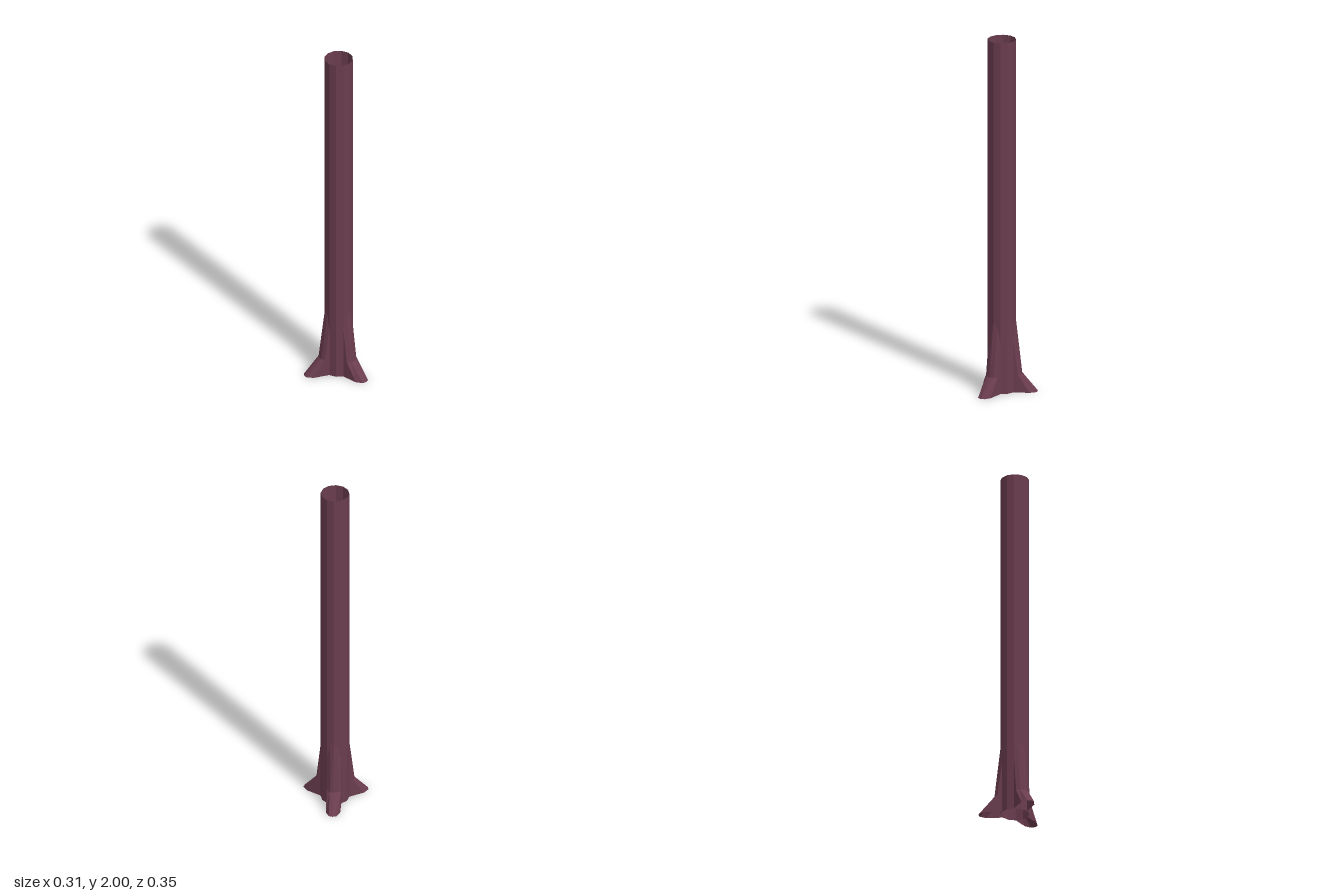
import * as THREE from 'three';

const bark = new THREE.MeshStandardMaterial({ color: 0x6b3d4f, flatShading: true, side: THREE.DoubleSide });
const RADIUS = 0.078;

// Flared root pointing along +x: columns run across it, each with three [x, y] points from ground to trunk
function rootGeometry() {
  const edge = [[0.157, 0], [0.092, 0.1], [0.0675, 0.3]];
  const wall = [[0.0675, 0], [0.0675, 0.1], [0.0675, 0.3]];
  const shoulder = [[0.192, 0], [0.108, 0.1], [0.0727, 0.38]];
  const ridge = [[0.198, 0], [0.112, 0.1], [RADIUS, 0.4]];
  const columns = [
    [-0.039, wall], [-0.039, edge], [-0.021, shoulder], [0, ridge],
    [0.021, shoulder], [0.039, edge], [0.039, wall],
  ];
  const positions = [];
  const index = [];
  columns.forEach(([z, profile], i) => {
    profile.forEach(([x, y], j) => {
      positions.push(x, y, z);
      if (i < columns.length - 1 && j < 2) {
        const a = i * 3 + j, b = a + 3;
        index.push(a, a + 1, b, b, a + 1, b + 1);
      }
    });
  });
  const geometry = new THREE.BufferGeometry();
  geometry.setAttribute('position', new THREE.Float32BufferAttribute(positions, 3));
  geometry.setIndex(index);
  geometry.computeVertexNormals();
  return geometry;
}

export function createModel() {
  const model = new THREE.Group();
  model.name = 'treeTrunk';

  // Everything is centred on the trunk axis, which sits a little to the right
  const tree = new THREE.Group();
  tree.name = 'trunkWithRoots';
  tree.position.x = -0.042;
  model.add(tree);

  // Open twelve-sided trunk
  const trunk = new THREE.Mesh(new THREE.CylinderGeometry(RADIUS, RADIUS, 2, 12, 1, true), bark);
  trunk.name = 'trunk';
  trunk.position.y = 1;
  tree.add(trunk);

  // Three roots spread evenly round the base
  const geometry = rootGeometry();
  for (let i = 0; i < 3; i++) {
    const root = new THREE.Mesh(geometry, bark);
    root.name = `root${i + 1}`;
    root.rotation.y = (i * Math.PI * 2) / 3;
    tree.add(root);
  }
  return model;
}
